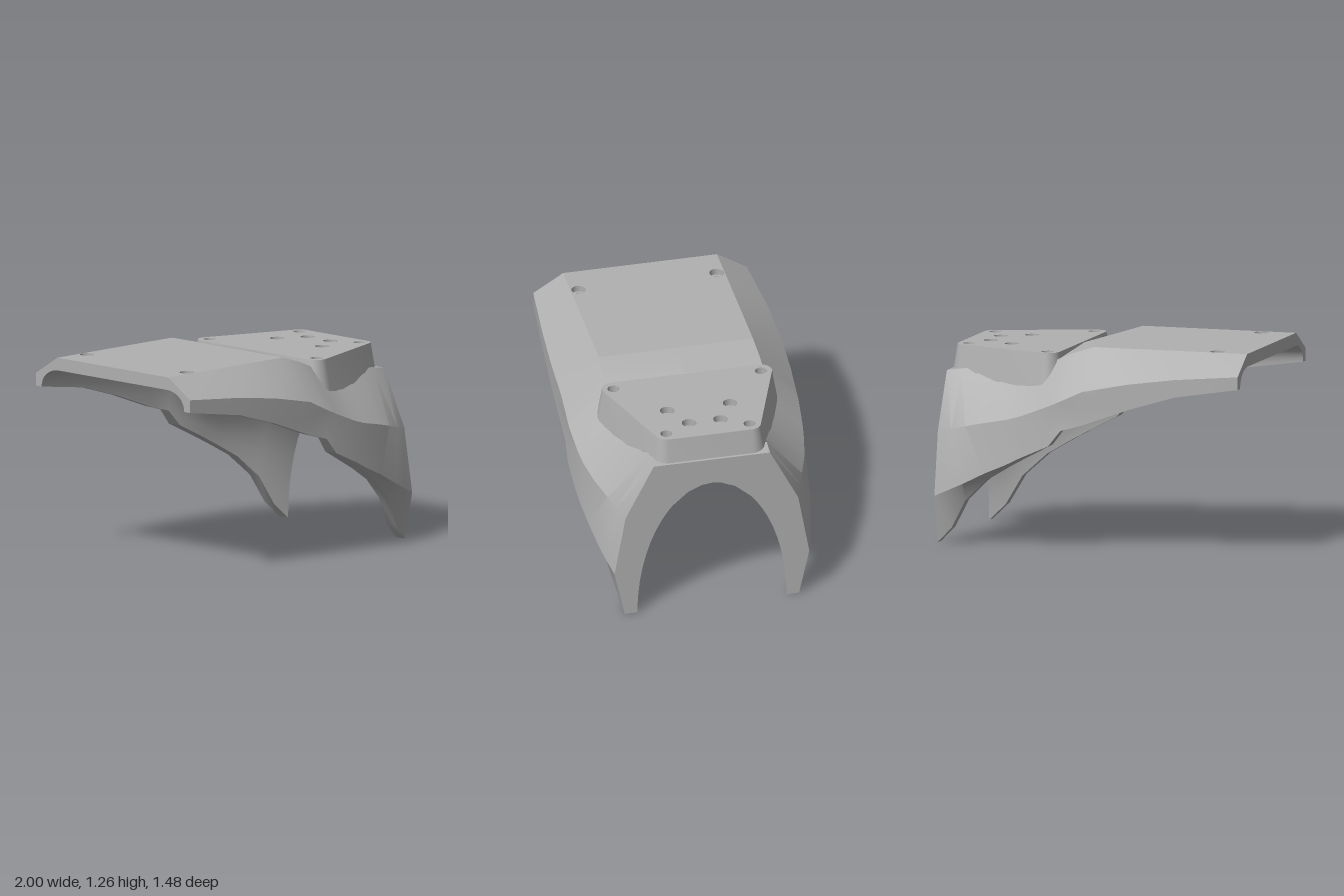
import * as THREE from 'three';
import { toCreasedNormals } from 'three/addons/utils/BufferGeometryUtils.js';

// Stations along x: x, top edge z,y, shoulder z,y, lower crease z,y, bottom z,y,
// inner bottom z, flat half-width of the ceiling, ceiling height
const STATIONS = [
  [-1, .49, 1.26, .68, 1.14, .68, 1.1, .68, 1.06, .63, .48, 1.18],
  [-.6, .49, 1.26, .715, 1.11, .715, 1.05, .715, 1, .66, .48, 1.18],
  [-.3, .49, 1.26, .73, 1.07, .73, .98, .73, .91, .67, .48, 1.18],
  [0, .49, 1.26, .73, 1.01, .73, .9, .73, .8, .67, .48, 1.18],
  [.14, .5, 1.215, .73, .945, .725, .85, .735, .76, .66, .4, 1.07],
  [.22, .505, 1.18, .73, .91, .735, .75, .74, .66, .64, .3, .98],
  [.4, .43, 1.12, .715, .84, .735, .58, .71, .565, .61, .18, .96],
  [.5, .41, 1.105, .7, .81, .725, .53, .69, .51, .6, .1, .95],
  [.65, .385, 1.09, .67, .78, .705, .465, .65, .42, .57, .06, .93],
  [.8, .375, 1.08, .62, .745, .675, .39, .61, .28, .53, .02, .91],
  [.9, .372, 1.07, .59, .72, .65, .345, .58, .1, .5, 0, .895],
  [1, .37, 1.055, .55, .7, .62, .3, .555, 0, .475, 0, .885],
];
const CEILING_Z = [0, .06, .15, .25];
const PLATE_Y = 1.26, PAD_Y = 1.215, PAD_BASE = .99;

const gray = new THREE.MeshStandardMaterial({ color: 0xb0b0b0, side: THREE.DoubleSide });
gray.name = 'gray';

// Height of the inner surface of a station at a given z
function ceilingY(r, z) {
  const [zi, zf, yt] = r.slice(9), yb = r[8];
  const t = Math.max(0, (z - zf) / (zi - zf));
  return yb + (yt - yb) * Math.sqrt(Math.max(0, 1 - t * t));
}

function stationAt(x) {
  const i = Math.max(1, STATIONS.findIndex((r) => r[0] >= x - 1e-6));
  const a = STATIONS[i - 1], b = STATIONS[i], t = (x - a[0]) / (b[0] - a[0]);
  return a.map((v, k) => v + (b[k] - v) * t);
}

// Half cross-sections as [z, y] points
function outerHalf(r) {
  const pts = [[0, PLATE_Y - .205 * Math.max(0, r[0])]];
  for (let k = 1; k < 9; k += 2) pts.push([r[k], r[k + 1]]);
  pts.push([r[9], r[8]]);
  return pts;
}
function innerHalf(r) {
  const start = Math.max(.28, r[10]);
  const zs = [...CEILING_Z, start];
  for (let k = 1; k <= 8; k++) zs.push(start + (r[9] - start) * Math.sin(k * Math.PI / 16));
  return zs.map((z) => [z, ceilingY(r, z)]);
}

// Surface through rows of points, leaving out cells where skip is true
function grid(rows, flip, skip = () => false, crease = .5) {
  const n = rows[0].length, index = [];
  for (let i = 0; i < rows.length - 1; i++) {
    for (let k = 0; k < n - 1; k++) {
      if (skip(i, k)) continue;
      const a = i * n + k, b = a + 1, c = a + n, d = c + 1;
      index.push(...(flip ? [a, c, b, b, c, d] : [a, b, c, b, d, c]));
    }
  }
  const g = new THREE.BufferGeometry();
  g.setAttribute('position', new THREE.Float32BufferAttribute(rows.flat(2), 3));
  g.setIndex(index);
  return toCreasedNormals(g, crease);
}

function circle(x, z, r) {
  return new THREE.Path().absarc(x, z, r, 0, Math.PI * 2, true);
}

// Flat face with holes, facing up or down
function face(shape, holes, y, up = true) {
  shape.holes.push(...holes.map((h) => circle(...h)));
  return new THREE.ShapeGeometry(shape, 24).rotateX(up ? -Math.PI / 2 : Math.PI / 2).translate(0, y, 0);
}

function rectangle(x0, x1, z) {
  return new THREE.Shape([[x0, -z], [x1, -z], [x1, z], [x0, z]].map((p) => new THREE.Vector2(...p)));
}

// Rounded outline of the mounting pad
function padOutline(r) {
  const pts = [], lean = Math.atan2(.585, .205);
  const arc = (x, z, a, b) => {
    for (let i = 0; i <= 8; i++) {
      const t = a + (b - a) * i / 8;
      pts.push(new THREE.Vector2(x + r * Math.cos(t), z + r * Math.sin(t)));
    }
  };
  arc(.89, .265, 0, lean);
  arc(.305, .47, lean, Math.PI);
  arc(.305, -.47, Math.PI, Math.PI * 2 - lean);
  arc(.89, -.265, Math.PI * 2 - lean, Math.PI * 2);
  return pts;
}

export function createModel() {
  const model = new THREE.Group();
  model.name = 'cover';
  const add = (name, geometry) => {
    const m = new THREE.Mesh(geometry, gray);
    m.name = name;
    model.add(m);
    return m;
  };
  // Turned hole lining
  const lining = (name, x, z, profile) => {
    const g = new THREE.LatheGeometry(profile.map((p) => new THREE.Vector2(...p)), 24);
    add(name, toCreasedNormals(g, .5)).position.set(x, 0, z);
  };

  // Shell sides, inner and outer, mirrored
  const xAt = (i) => STATIONS[i][0];
  for (const s of [1, -1]) {
    const rows = (half) => STATIONS.map((r) => half(r).map(([z, y]) => [r[0], y, z * s]));
    const openTop = (i, k) => k === 0 && (xAt(i) < 0 || (xAt(i) >= .22 && xAt(i) < .9));
    const openCeiling = (i, k) => (xAt(i) < 0 && k < 4)
      || (xAt(i) >= .5 && xAt(i) < .9 && (k === 1 || k === 2));
    add('outerShell', grid(rows(outerHalf), s < 0, openTop, .4));
    add('innerShell', grid(rows(innerHalf), s > 0, openCeiling, .6));

    // Ceiling strips pierced by the pad bolt holes
    for (const [z0, z1, hx, hz] of [[.06, .15, .8, .1], [.15, .25, .63, .2]]) {
      const xs = [.5, .65, .8, .9];
      const edge = [...xs.map((x) => [x, z0]), ...xs.reverse().map((x) => [x, z1])];
      const shape = new THREE.Shape(edge.map((p) => new THREE.Vector2(...p)));
      const g = face(shape, [[hx, hz, .028]], 0, false);
      const p = g.attributes.position;
      for (let i = 0; i < p.count; i++) {
        const x = p.getX(i), z = Math.abs(p.getZ(i));
        p.setXYZ(i, x, ceilingY(stationAt(x), z), z * s);
      }
      if (s < 0) g.setIndex([...g.index.array].reverse());
      g.computeVertexNormals();
      add('ceilingStrip', g);
    }
  }

  // End faces
  for (const r of [STATIONS[0], STATIONS.at(-1)]) {
    const inner = innerHalf(r).reverse();
    const mirror = (pts) => pts.map(([z, y]) => [-z, y]).reverse();
    const outer = outerHalf(r);
    const loop = [...outer.slice(1), ...inner.slice(1), ...mirror(inner.slice(1, -1)), ...mirror(outer.slice(1))];
    const g = new THREE.ShapeGeometry(new THREE.Shape(loop.map((p) => new THREE.Vector2(...p))));
    g.rotateY(r[0] > 0 ? Math.PI / 2 : -Math.PI / 2).translate(r[0], 0, 0);
    add('endFace', g);
  }

  // Flat rear plate with two bolt holes and a round recess beneath
  const plateHoles = [[-.79, .44], [-.79, -.44]];
  add('plateTop', face(rectangle(-1, 0, .49), plateHoles.map((h) => [...h, .045]), PLATE_Y));
  add('plateUnderside', face(rectangle(-1, 0, .48),
    [...plateHoles.map((h) => [...h, .028]), [-.48, 0, .34]], 1.18, false));
  lining('roundRecess', -.48, 0, [[.34, 1.18], [.325, 1.184], [.31, 1.195], [.3, 1.215], [.3, 1.245], [0, 1.245]]);
  for (const [x, z] of plateHoles) {
    lining('plateHole', x, z, [[.045, PLATE_Y], [.045, 1.22], [.028, 1.22], [.028, 1.18]]);
  }

  // Raised mounting pad with drafted walls
  const bolts = [[.8, .1], [.8, -.1], [.63, .2], [.63, -.2]];
  const sockets = [[.31, .47], [.31, -.47], [.89, .265], [.89, -.265]];
  add('padTop', face(new THREE.Shape(padOutline(.07)),
    [...bolts.map((h) => [...h, .045]), ...sockets.map((h) => [...h, .037])], PAD_Y));
  const ring = (r, y) => {
    const pts = padOutline(r).map((p) => [p.x, y, p.y]);
    return [...pts, pts[0]];
  };
  add('padWall', grid([ring(.07, PAD_Y), ring(.107, PAD_BASE)], false, undefined, .6));
  for (const [x, z] of bolts) {
    const y = ceilingY(stationAt(x), Math.abs(z));
    lining('padBoltHole', x, z, [[.045, PAD_Y], [.045, 1.17], [.028, 1.17], [.028, y]]);
  }
  for (const [x, z] of sockets) {
    lining('padSocket', x, z, [[.037, PAD_Y], [.037, 1.15], [0, 1.15]]);
  }
  return model;
}
